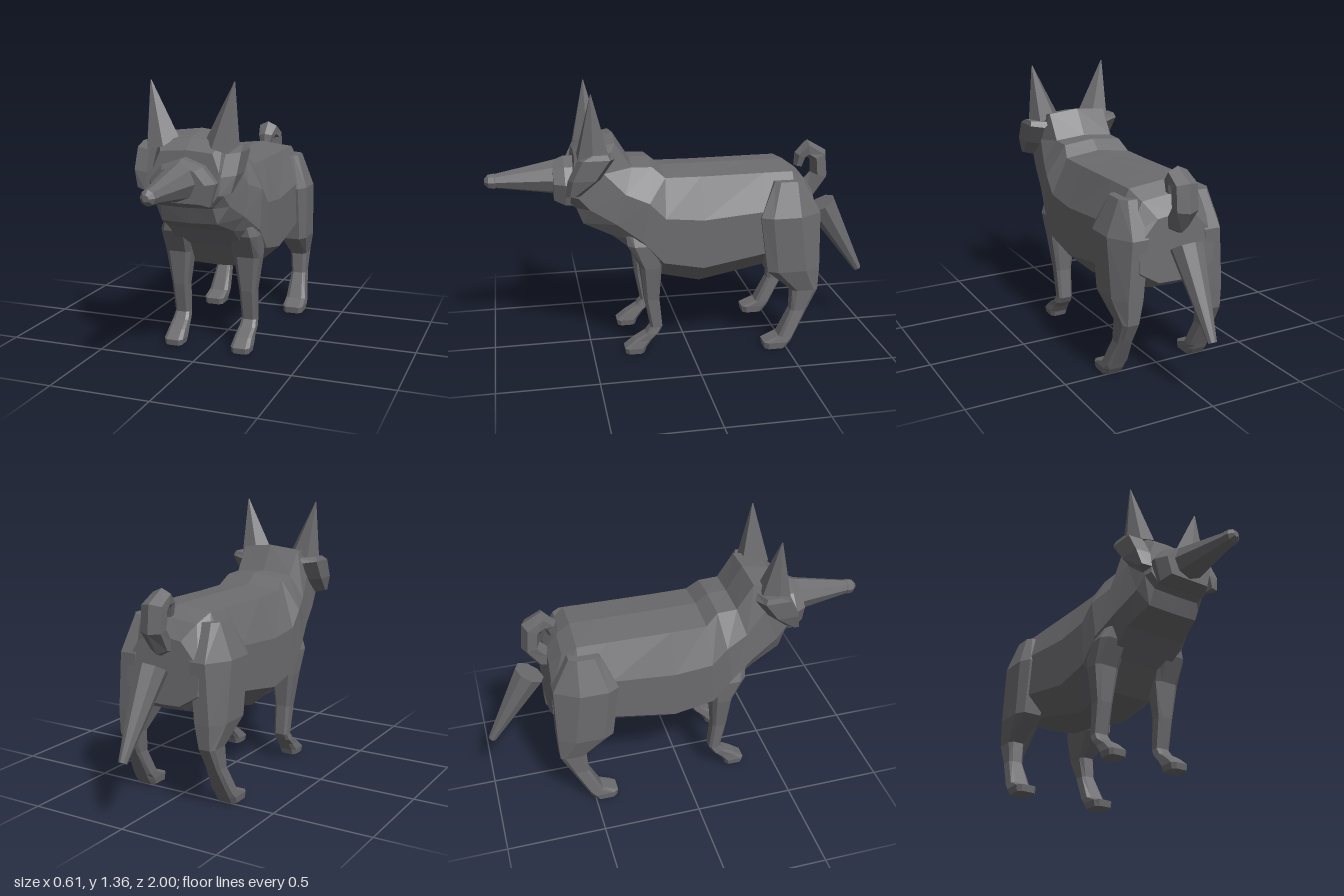
import * as THREE from 'three';

// Faceted skin over a list of rings (equal point counts), closed at both ends.
function loft(rings) {
  const pos = [];
  const tri = (a, b, c) => pos.push(...a, ...b, ...c);
  const n = rings[0].length;
  for (let i = 0; i < rings.length - 1; i++) {
    for (let j = 0; j < n; j++) {
      const k = (j + 1) % n;
      tri(rings[i][j], rings[i + 1][j], rings[i + 1][k]);
      tri(rings[i][j], rings[i + 1][k], rings[i][k]);
    }
  }
  const first = rings[0], last = rings[rings.length - 1];
  for (let j = 1; j < n - 1; j++) {
    tri(first[0], first[j], first[j + 1]);
    tri(last[0], last[j + 1], last[j]);
  }
  // Turn the faces outward when the rings run the other way round
  const v = [0, 1, 2].map(() => new THREE.Vector3());
  let volume = 0;
  for (let i = 0; i < pos.length; i += 9) {
    v.forEach((p, k) => p.fromArray(pos, i + k * 3));
    volume += v[0].dot(v[1].clone().cross(v[2]));
  }
  if (volume < 0) {
    for (let i = 0; i < pos.length; i += 9) {
      for (let k = 0; k < 3; k++) {
        [pos[i + 3 + k], pos[i + 6 + k]] = [pos[i + 6 + k], pos[i + 3 + k]];
      }
    }
  }
  const g = new THREE.BufferGeometry();
  g.setAttribute('position', new THREE.Float32BufferAttribute(pos, 3));
  g.computeVertexNormals();
  return g;
}

// Body ring: top and bottom point in the side plane, then three half widths
function bodyRing([zt, yt, zb, yb, wTop, wMid, wLow]) {
  const half = [[0, 0], [wTop, 0.04], [wMid, 0.38], [wMid, 0.8], [wLow, 0.99], [0, 1]];
  const right = half.map(([x, t]) => [x, yt + (yb - yt) * t, zt + (zb - zt) * t]);
  const left = right.slice(1, 5).reverse().map(([x, y, z]) => [-x, y, z]);
  return [...right, ...left];
}

// Level leg ring: rectangle with cut corners; the outer rear cut can be deeper
function legRing([y, z0, z1, x0, x1, rear = 0.65], s) {
  const cx = (x0 + x1) / 2, cz = (z0 + z1) / 2, hx = (x1 - x0) / 2, hz = (z1 - z0) / 2;
  return [[1, 0.65], [0.65, 1], [-0.65, 1], [-1, 0.65], [-1, -0.65], [-0.65, -1], [rear, -1], [1, -rear]]
    .map(([a, b]) => [s * (cx + a * hx), y, cz + b * hz]);
}

// Rings across a path in the side plane; each point is [z, y, radius, half width]
function sweep(path, sides) {
  return loft(path.map(([z, y, r, w = r], i) => {
    const a = path[Math.max(i - 1, 0)], b = path[Math.min(i + 1, path.length - 1)];
    const len = Math.hypot(b[0] - a[0], b[1] - a[1]);
    const nz = -(b[1] - a[1]) / len, ny = (b[0] - a[0]) / len;
    return Array.from({ length: sides }, (_, j) => {
      const t = (j / sides) * Math.PI * 2;
      return [Math.sin(t) * w, y + ny * Math.cos(t) * r, z + nz * Math.cos(t) * r];
    });
  }));
}

export function createModel() {
  const dog = new THREE.Group();
  dog.name = 'dog';
  const coat = new THREE.MeshStandardMaterial({ color: 0x6c6b6e });
  coat.name = 'grey coat';
  const add = (name, geometry) => {
    const m = new THREE.Mesh(geometry, coat);
    m.name = name;
    dog.add(m);
  };

  // Rump, trunk and chest, neck and head in one skin
  add('bodyAndHead', loft([
    [-0.66, 0.82, -0.68, 0.50, 0.10, 0.20, 0.10],
    [-0.60, 0.90, -0.64, 0.47, 0.15, 0.23, 0.12],
    [-0.53, 0.95, -0.55, 0.44, 0.18, 0.26, 0.14],
    [-0.38, 0.95, -0.38, 0.42, 0.18, 0.26, 0.15],
    [-0.06, 0.95, -0.06, 0.35, 0.18, 0.26, 0.13],
    [0.12, 0.95, 0.15, 0.40, 0.18, 0.26, 0.13],
    [0.18, 1.00, 0.26, 0.53, 0.16, 0.255, 0.17],
    [0.28, 1.00, 0.39, 0.64, 0.16, 0.22, 0.17],
    [0.36, 1.13, 0.53, 0.70, 0.16, 0.19, 0.14],
    [0.50, 1.10, 0.56, 0.78, 0.16, 0.18, 0.13],
    [0.56, 1.05, 0.59, 0.80, 0.13, 0.165, 0.13],
  ].map(bodyRing)));

  // Angular muzzle base: back and front ring of one outline
  const outline = [[0, 1.02], [0.1, 0.985], [0.165, 0.91], [0.135, 0.80],
    [-0.135, 0.80], [-0.165, 0.91], [-0.1, 0.985]];
  add('muzzleBase', loft([[0.54, 1], [0.61, 1], [0.665, 0.8]].map(([z, k]) =>
    outline.map(([x, y]) => [x * k, 0.91 + (y - 0.91) * k, z]))));

  // Tapering snout and nose
  add('snout', sweep([[0.63, 0.915, 0.093], [0.95, 0.906, 0.036]], 8));
  add('nose', sweep([[0.935, 0.905, 0.03], [0.95, 0.905, 0.04], [0.98, 0.905, 0.036], [1.0, 0.905, 0.015]], 8));

  // Leg rings: height, back, front, inner and outer side
  const foreleg = [
    [0.005, 0.24, 0.335, 0.135, 0.225], [0.035, 0.23, 0.34, 0.13, 0.23],
    [0.075, 0.20, 0.29, 0.135, 0.225], [0.11, 0.165, 0.23, 0.14, 0.225],
    [0.145, 0.145, 0.205, 0.145, 0.22], [0.3, 0.16, 0.235, 0.14, 0.225],
    [0.48, 0.15, 0.255, 0.115, 0.25], [0.60, 0.13, 0.32, 0.10, 0.255],
    [0.69, 0.14, 0.33, 0.12, 0.22],
  ];
  const hindLeg = [
    [0, -0.50, -0.385, 0.185, 0.29], [0.035, -0.525, -0.38, 0.18, 0.295],
    [0.065, -0.54, -0.46, 0.18, 0.29], [0.2, -0.61, -0.525, 0.19, 0.27],
    [0.31, -0.665, -0.53, 0.18, 0.27], [0.43, -0.67, -0.39, 0.15, 0.30, 0.4],
    [0.72, -0.67, -0.35, 0.12, 0.305, 0.25], [0.89, -0.58, -0.43, 0.13, 0.24, 0.5],
  ];
  for (const [side, s] of [['left', 1], ['right', -1]]) {
    add(side + 'ForeLeg', loft(foreleg.map((r) => legRing(r, s))));
    add(side + 'HindLeg', loft(hindLeg.map((r) => legRing(r, s))));

    // Pointed ear with a slanting six-sided base
    const base = [[0.07, 1.10, 0.48], [0.12, 1.06, 0.55], [0.2, 1.04, 0.55],
      [0.235, 1.04, 0.48], [0.2, 1.06, 0.40], [0.12, 1.10, 0.41]];
    const tip = [0.21, 1.37, 0.48];
    add(side + 'PointedEar', loft([base, base.map((p) => p.map((c, i) => tip[i] + (c - tip[i]) * 0.03))]
      .map((ring) => ring.map(([x, y, z]) => [s * x, y, z]))));

    // Hanging flap beside the cheek: inner and outer x, y, back and front
    add(side + 'HangingFlap', loft([
      [0.15, 0.25, 1.075, 0.39, 0.50], [0.19, 0.258, 1.05, 0.38, 0.55],
      [0.185, 0.253, 0.95, 0.45, 0.60], [0.185, 0.232, 0.87, 0.55, 0.615],
    ].map(([x0, x1, y, z0, z1]) => [
      [s * x0, y - 0.01, z0 - 0.01], [s * x1, y, z0 + 0.02], [s * x1, y, z1 - 0.02], [s * x0, y - 0.01, z1],
    ])));
  }

  // Curled tail and the straight tapering tail below it
  add('curledTail', sweep([
    [-0.61, 0.77, 0.05], [-0.675, 0.785, 0.055], [-0.73, 0.86, 0.048, 0.065],
    [-0.72, 0.965, 0.048, 0.065], [-0.66, 1.0, 0.046, 0.058],
    [-0.625, 0.965, 0.034, 0.045], [-0.615, 0.91, 0.025, 0.03],
  ], 6));
  add('straightTail', sweep([[-0.75, 0.69, 0.08], [-0.98, 0.305, 0.021]], 8));

  return dog;
}
